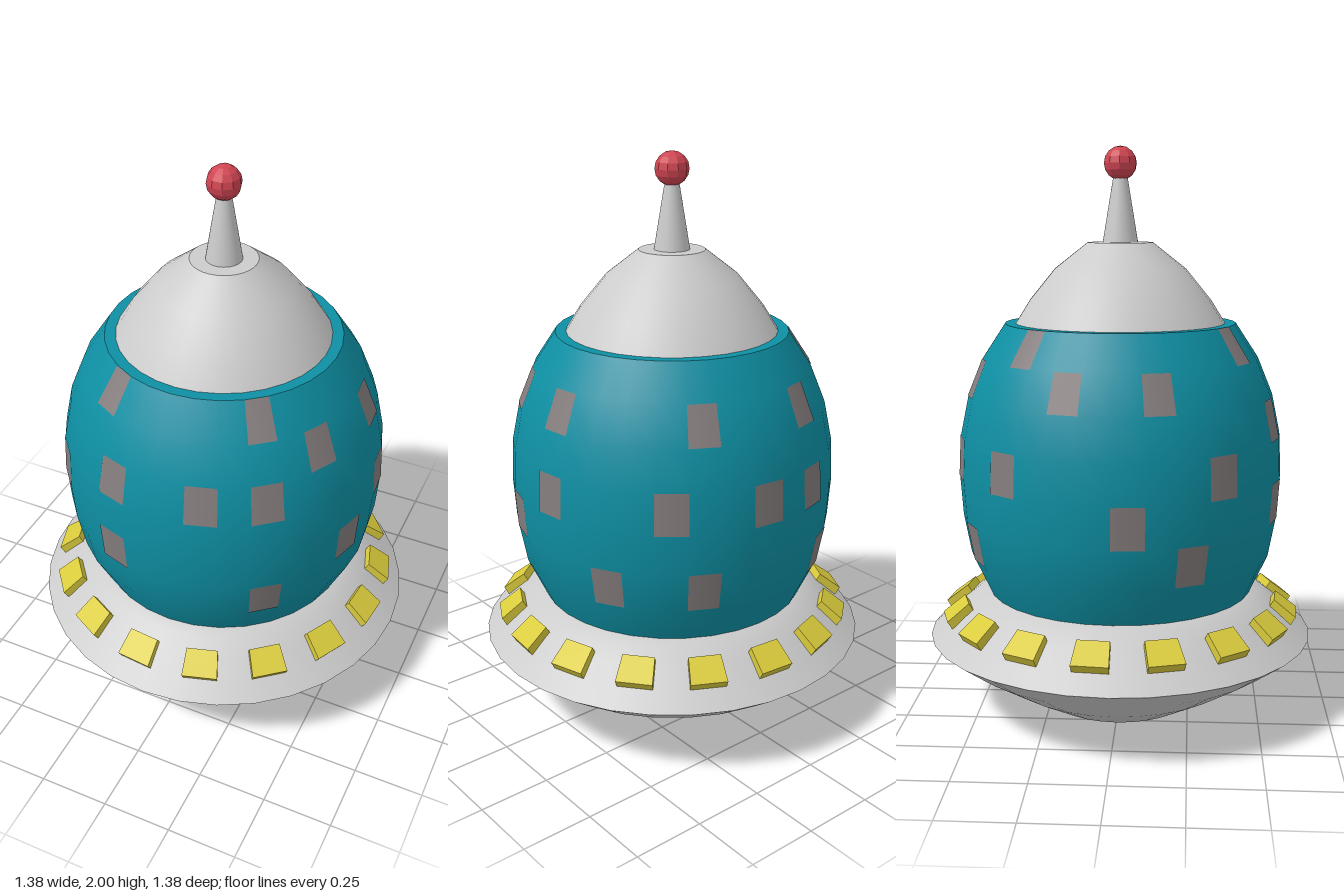
import * as THREE from 'three';

const SIDES = 32;
const STEP = (Math.PI * 2) / SIDES;

const paint = (color, extra = {}) => new THREE.MeshStandardMaterial({ color, ...extra });
const grey = paint(0xcccccc);
const teal = paint(0x0e8fa3);
const glass = paint(0x857d7d);
const yellow = paint(0xd9cb3c);
const red = paint(0xd04552, { flatShading: true });

// Turned surface, optionally only one stretch around the axis
function turned(name, points, material, start = 0, count = SIDES) {
  const profile = points.map(([r, y]) => new THREE.Vector2(r, y));
  const mesh = new THREE.Mesh(new THREE.LatheGeometry(profile, count, start * STEP, count * STEP), material);
  mesh.name = name;
  return mesh;
}

// Hull rings; each pair of neighbours bounds one row of windows
const hull = [
  [0.475, 0.43], [0.54, 0.57], [0.566, 0.71], [0.576, 0.855],
  [0.569, 1.0], [0.54, 1.14], [0.487, 1.27], [0.408, 1.39],
];

// Lit sectors per row, counted from the front towards +x
const windowRows = [
  [3, 10, 13, 18, 26],
  [6, 24, 30],
  [8, 12, 15, 17, 20, 27],
  [1, 3, 30],
  [5, 8, 13, 17, 22, 25],
  [3, 20, 29],
];

// Sloped lamp block filling one sector of the skirt
function lampGeometry() {
  const geometry = new THREE.BoxGeometry(1, 1, 1);
  const pos = geometry.attributes.position;
  for (let i = 0; i < pos.count; i++) {
    const outer = pos.getZ(i) > 0;
    const top = pos.getY(i) > 0;
    const r = (outer ? 0.643 : 0.565) - (top ? 0 : 0.025);
    const y = (outer ? 0.35 : 0.41) - (top ? 0 : 0.04);
    pos.setXYZ(i, Math.sign(pos.getX(i)) * r * Math.tan(STEP / 2), y, r);
  }
  geometry.computeVertexNormals();
  return geometry;
}

export function createModel() {
  const model = new THREE.Group();
  model.name = 'rocketHouse';

  // Saucer-shaped base
  model.add(
    turned('baseUnderside', [[0, 0], [0.27, 0], [0.43, 0.09], [0.58, 0.185], [0.692, 0.267]], grey),
    turned('baseSkirt', [[0.692, 0.267], [0.64, 0.312], [0.57, 0.372], [0.515, 0.415], [0.47, 0.432]], grey),
  );

  // Hull and its top ledge
  model.add(
    turned('hull', hull, teal),
    turned('hullLedge', [[0.408, 1.39], [0.36, 1.39]], teal),
  );

  // Windows set on single hull facets
  const windows = new THREE.Group();
  windows.name = 'windows';
  windowRows.forEach((sectors, row) => {
    const strip = [hull[row], hull[row + 1]].map(([r, y]) => [r + 0.002, y]);
    // hull row 0 is the plain bottom band
    const band = [hull[row + 1], hull[row + 2]].map(([r, y]) => [r + 0.002, y]);
    for (const s of sectors) windows.add(turned('window', band ?? strip, glass, s, 1));
  });
  model.add(windows);

  // Ring of lamps on every other sector
  const lamps = new THREE.Group();
  lamps.name = 'lamps';
  const lampShape = lampGeometry();
  for (let s = 1; s < SIDES; s += 2) {
    const lamp = new THREE.Mesh(lampShape, yellow);
    lamp.name = 'lamp';
    lamp.rotation.y = (s + 0.5) * STEP;
    lamps.add(lamp);
  }
  model.add(lamps);

  // Nose cap, spire and tip
  model.add(
    turned('noseCap', [[0.37, 1.39], [0.32, 1.47], [0.23, 1.58], [0.115, 1.67]], grey),
    turned('noseCapTop', [[0.115, 1.67], [0.05, 1.67]], grey),
    turned('spire', [[0.062, 1.67], [0.024, 1.9]], grey),
  );
  const tip = new THREE.Mesh(new THREE.SphereGeometry(0.059, 10, 8), red);
  tip.name = 'tipBall';
  tip.position.y = 1.941;
  model.add(tip);

  return model;
}
